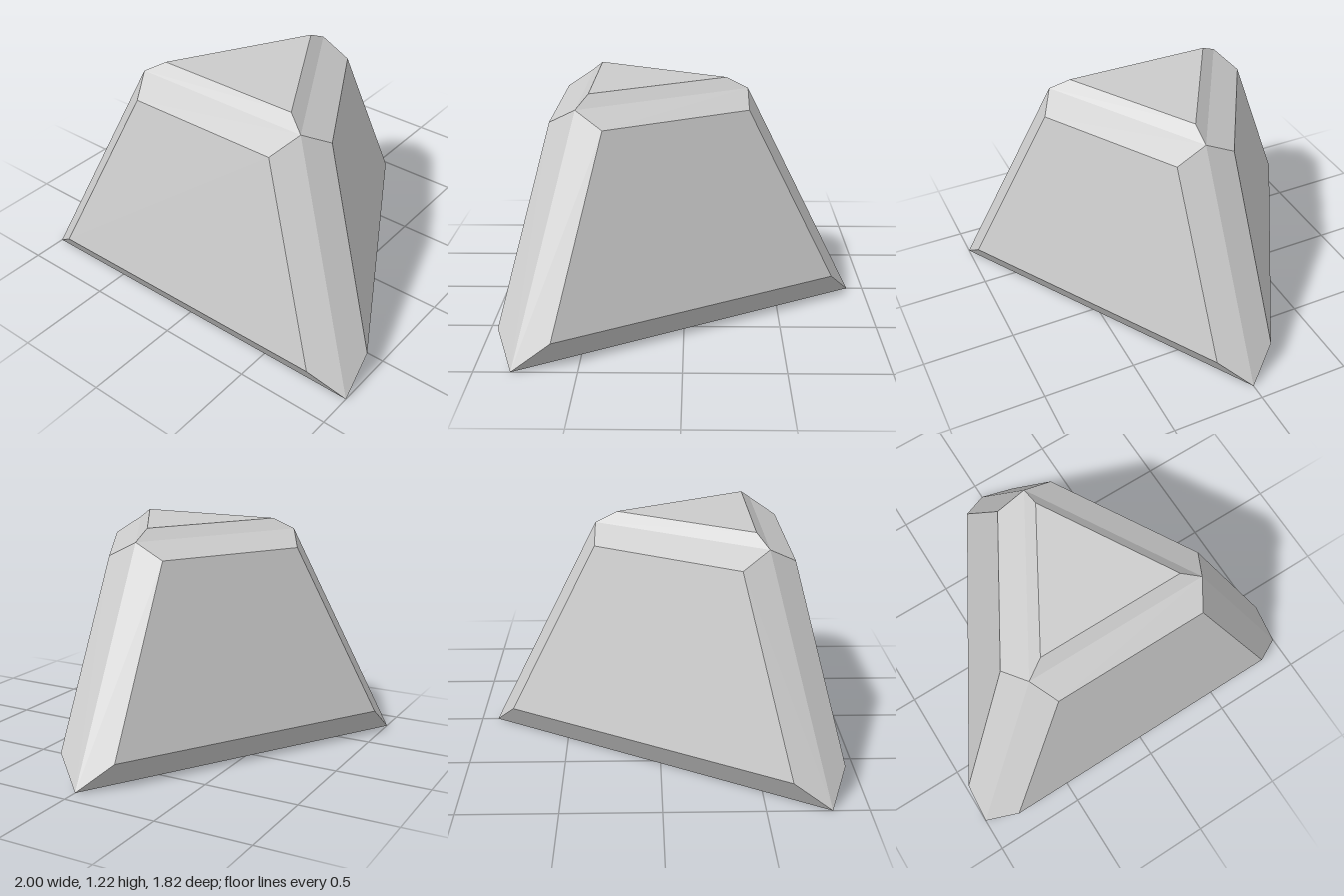
import * as THREE from 'three';

export function createModel() {
  const group = new THREE.Group();
  const material = new THREE.MeshStandardMaterial({ color: 0xcccccc, flatShading: true });
  const axisZ = 0.243; // the threefold axis of the body

  const polar = (radius, y, angle) => [radius * Math.sin(angle), y, axisZ + radius * Math.cos(angle)];

  // Points around one bevelled corner, from the base up
  const corners = [1, 3, 5].map((n) => {
    const a = (n * Math.PI) / 3;
    return {
      base: polar(1.155, 0, a),
      lowLeft: polar(1.057, 0.142, a - 0.152),
      lowRight: polar(1.057, 0.142, a + 0.152),
      highLeft: polar(0.601, 1.075, a - 0.27),
      highRight: polar(0.601, 1.075, a + 0.27),
      shoulder: polar(0.577, 1.157, a),
      top: polar(0.462, 1.215, a),
    };
  });

  // Builds a flat-shaded mesh from polygons, each listed counter-clockwise
  function addFaces(name, polygons) {
    const positions = [];
    for (const p of polygons) {
      for (let i = 1; i < p.length - 1; i++) positions.push(...p[0], ...p[i], ...p[i + 1]);
    }
    const geometry = new THREE.BufferGeometry();
    geometry.setAttribute('position', new THREE.Float32BufferAttribute(positions, 3));
    geometry.computeVertexNormals();
    const mesh = new THREE.Mesh(geometry, material);
    mesh.name = name;
    group.add(mesh);
  }

  const sides = [], baseBevels = [], topBevels = [], cornerBevels = [];
  corners.forEach((c, i) => {
    const n = corners[(i + 1) % 3];
    sides.push([c.lowRight, n.lowLeft, n.highLeft, c.highRight]);
    baseBevels.push([c.base, n.base, n.lowLeft, c.lowRight]);
    topBevels.push([c.highRight, n.highLeft, n.shoulder, c.shoulder], [c.shoulder, n.shoulder, n.top, c.top]);
    cornerBevels.push([c.base, c.shoulder, c.highLeft, c.lowLeft], [c.base, c.lowRight, c.highRight, c.shoulder]);
  });

  addFaces('slopingSides', sides);
  addFaces('baseBevels', baseBevels);
  addFaces('topBevels', topBevels);
  addFaces('cornerBevels', cornerBevels);
  addFaces('topFace', [corners.map((c) => c.top)]);
  addFaces('bottomFace', [corners.map((c) => c.base).reverse()]);
  return group;
}
